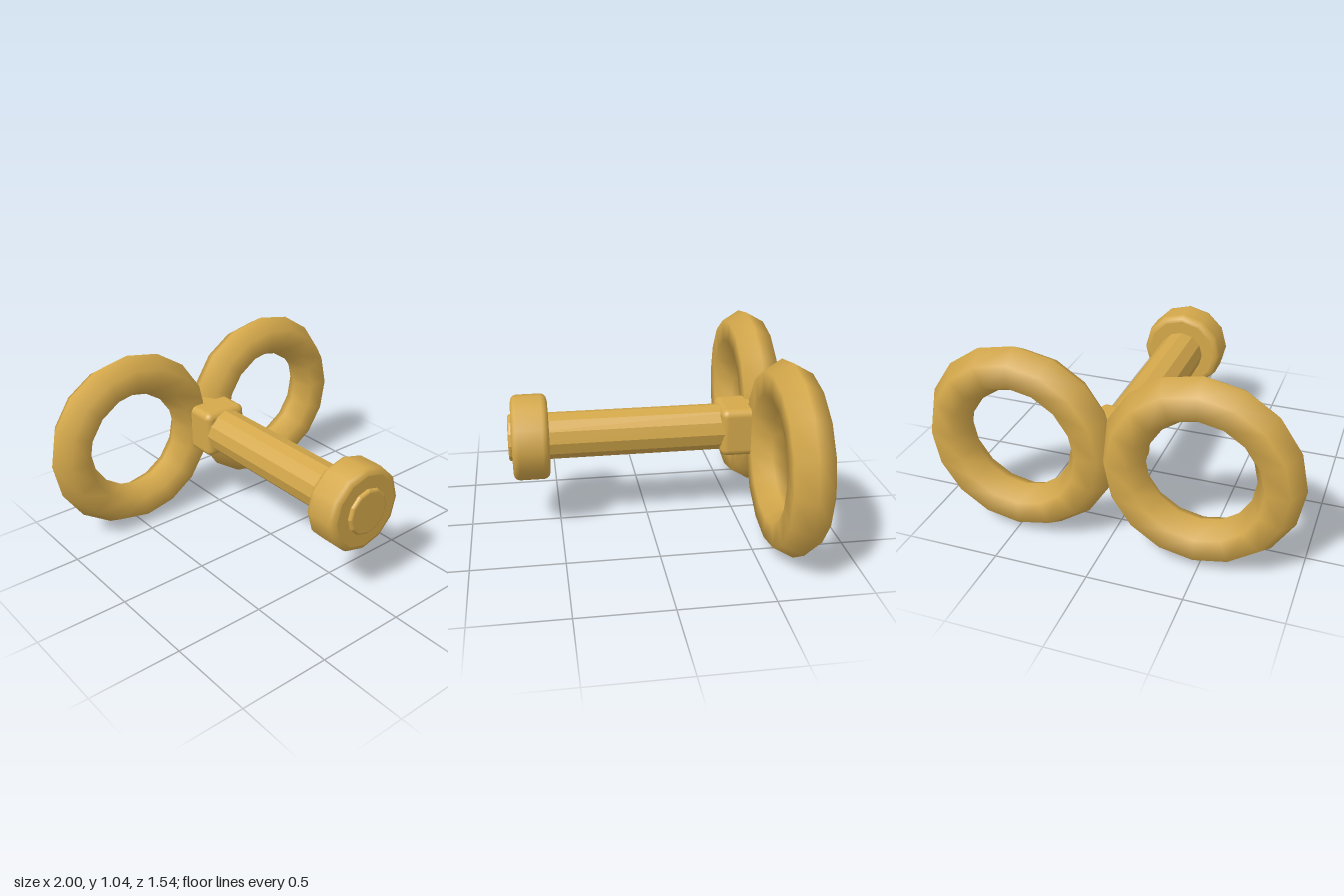
import * as THREE from 'three';
import { RoundedBoxGeometry } from 'three/addons/geometries/RoundedBoxGeometry.js';

const AXIS_Y = 0.523; // height of the shaft and ring centres

// Twelve-sided drum along z from z0 to z1 with rounded rims and flat ends
function bevelledDrum(radius, z0, z1, bevel) {
  const profile = [[0, z0], [radius - bevel, z0], [radius - bevel, z0]];
  for (const a of [30, 60, 90]) {
    const t = THREE.MathUtils.degToRad(a);
    profile.push([radius - bevel + bevel * Math.sin(t), z0 + bevel - bevel * Math.cos(t)]);
  }
  for (const a of [90, 60, 30, 0]) {
    const t = THREE.MathUtils.degToRad(a);
    profile.push([radius - bevel + bevel * Math.sin(t), z1 - bevel + bevel * Math.cos(t)]);
  }
  profile.push([radius - bevel, z1], [0, z1]);
  const g = new THREE.LatheGeometry(profile.map(p => new THREE.Vector2(p[0], p[1])), 12);
  return g.rotateX(Math.PI / 2);
}

export function createModel() {
  const group = new THREE.Group();
  const brass = new THREE.MeshStandardMaterial({ color: 0xd4a84b });
  brass.name = 'brass';

  const add = (name, geometry, x, z) => {
    const mesh = new THREE.Mesh(geometry, brass);
    mesh.name = name;
    mesh.position.set(x, AXIS_Y, z);
    group.add(mesh);
  };

  // Two coarse rings forming the handle, touching at the centre
  for (const [name, side] of [['leftRing', 1], ['rightRing', -1]]) {
    add(name, new THREE.TorusGeometry(0.4, 0.12, 6, 16), 0.48 * side, -0.67);
  }

  // Block joining the rings to the shaft
  add('collar', new RoundedBoxGeometry(0.27, 0.275, 0.27, 3, 0.04), 0, -0.535);

  // Faceted shaft, its tip standing just proud of the head
  const shaft = bevelledDrum(0.13, -0.64, 0.77, 0.015).toNonIndexed();
  shaft.computeVertexNormals();
  add('shaft', shaft, 0, 0);

  // Wide head at the front end
  add('head', bevelledDrum(0.238, 0.55, 0.75, 0.035), 0, 0);

  return group;
}
